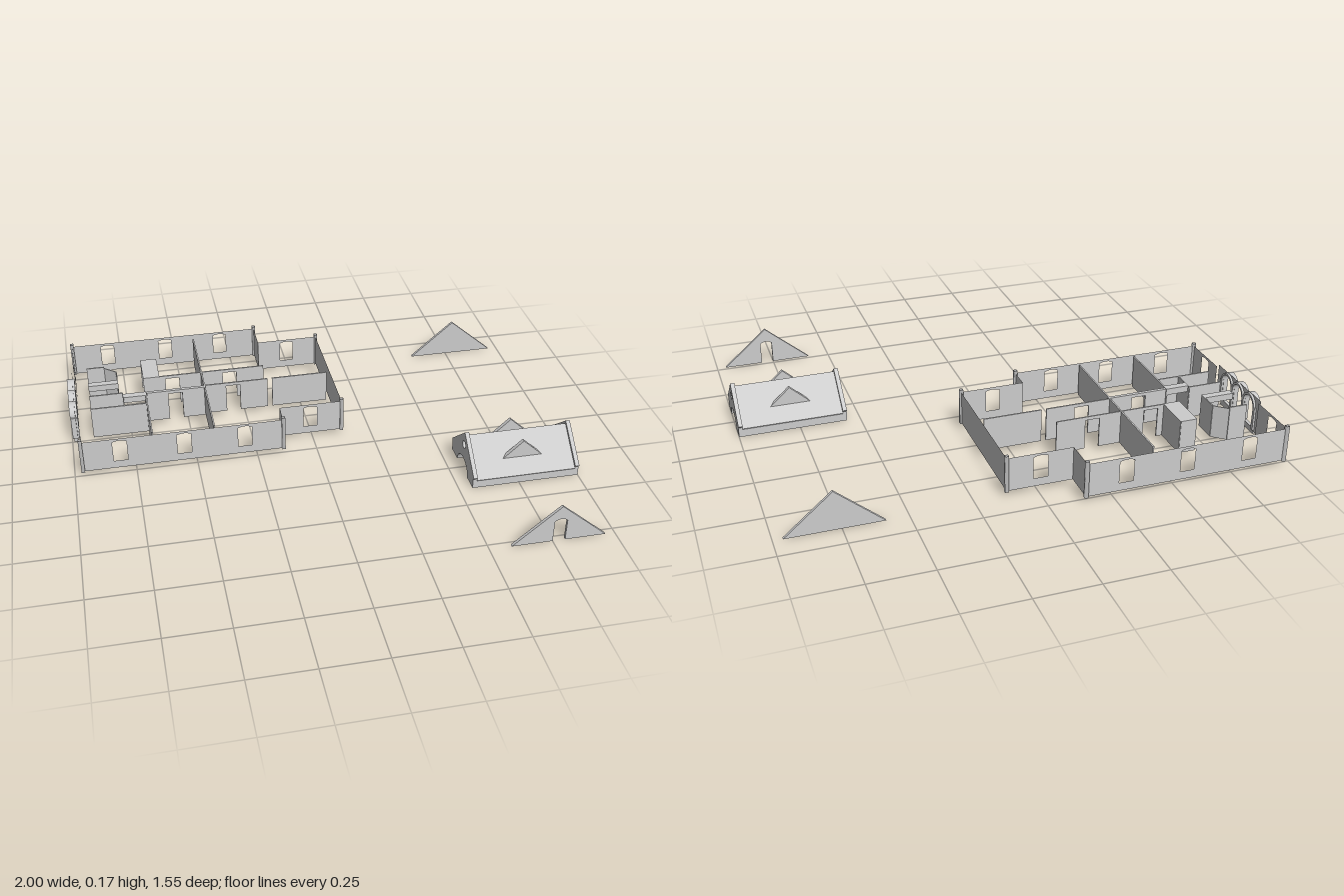
import * as THREE from 'three';

const grey = new THREE.MeshStandardMaterial({ color: 0xcccccc, side: THREE.DoubleSide });
grey.name = 'plaster grey';

const FLOOR = 0.022, TOP = 0.162;

// Opening with a slightly bowed head
function opening(path, u, w, y0, y1) {
  path.moveTo(u - w / 2, y0);
  path.lineTo(u + w / 2, y0);
  path.lineTo(u + w / 2, y1 - 0.006);
  path.quadraticCurveTo(u, y1 + 0.006, u - w / 2, y1 - 0.006);
  path.closePath();
  return path;
}

// Upright wall from (ax, az) to (bx, bz); windows and doors are distances along it
function wall(parent, name, [ax, az], [bx, bz], { windows = [], doors = [], t = 0, y0 = FLOOR, y1 = TOP } = {}) {
  const len = Math.hypot(bx - ax, bz - az);
  const s = new THREE.Shape();
  s.moveTo(0, y0);
  for (const d of [...doors].sort((a, b) => a - b)) {
    s.lineTo(d - 0.03, y0);
    s.lineTo(d - 0.03, 0.148);
    s.lineTo(d + 0.03, 0.148);
    s.lineTo(d + 0.03, y0);
  }
  s.lineTo(len, y0);
  s.lineTo(len, y1);
  s.lineTo(0, y1);
  s.closePath();
  for (const w of windows) s.holes.push(opening(new THREE.Path(), w, 0.058, 0.056, 0.152));
  const g = t ? new THREE.ExtrudeGeometry(s, { depth: t, bevelEnabled: false }).translate(0, 0, -t / 2)
    : new THREE.ShapeGeometry(s);
  const m = add(parent, name, g, [ax, 0, az]);
  m.rotation.y = -Math.atan2(bz - az, bx - ax);
  return m;
}

function add(parent, name, geometry, pos = [0, 0, 0]) {
  const m = new THREE.Mesh(geometry, grey);
  m.name = name;
  m.position.set(...pos);
  parent.add(m);
  return m;
}

function box(parent, name, x0, x1, y0, y1, z0, z1) {
  return add(parent, name, new THREE.BoxGeometry(x1 - x0, y1 - y0, z1 - z0),
    [(x0 + x1) / 2, (y0 + y1) / 2, (z0 + z1) / 2]);
}

function outerWalls() {
  const g = new THREE.Group();
  g.name = 'outerWalls';
  const L = -0.965, M = -0.14, R = 0.125;
  const along = [-0.81, -0.55, -0.3].map(x => x - L);
  wall(g, 'frontWall', [L, 0], [M, 0], { windows: along });
  wall(g, 'backWall', [L, -0.77], [M, -0.77], { windows: along });
  wall(g, 'frontStep', [M, 0], [M, -0.09]);
  wall(g, 'backStep', [M, -0.64], [M, -0.77]);
  wall(g, 'frontWing', [M, -0.09], [R, -0.09], { windows: [0.13] });
  wall(g, 'backWing', [M, -0.64], [R, -0.64], { windows: [0.13] });
  wall(g, 'endWall', [R, -0.09], [R, -0.64]);
  wall(g, 'entranceWallFront', [L, 0], [L, -0.21], { windows: [0.11] });
  wall(g, 'entranceWallBack', [L, -0.555], [L, -0.77], { windows: [0.11] });
  // Hollow corner posts
  for (const [x, z] of [[L, 0], [L, -0.77], [M, 0], [M, -0.77], [R, -0.09], [R, -0.64]]) {
    const post = new THREE.CylinderGeometry(0.01, 0.01, 0.155, 4, 1, true).rotateY(Math.PI / 4);
    add(g, 'cornerPost', post, [x, 0.0975, z]);
  }
  return g;
}

function innerWalls() {
  const g = new THREE.Group();
  g.name = 'innerWalls';
  const t = 0.006;
  wall(g, 'crossWall', [-0.423, -0.73], [-0.423, -0.015], { t });
  wall(g, 'backCorridorWall', [-0.675, -0.44], [-0.15, -0.44], { t, doors: [0.125, 0.375] });
  wall(g, 'frontCorridorWall', [-0.42, -0.33], [-0.15, -0.33], { t, doors: [0.12] });
  wall(g, 'wingWall', [-0.13, -0.33], [0.11, -0.33], { t });
  wall(g, 'hallWall', [-0.67, -0.322], [-0.42, -0.322], { t: 0.014, doors: [0.12] });
  wall(g, 'frontRoomWall', [-0.675, -0.33], [-0.675, -0.015], { t });
  wall(g, 'lobbyWall', [-0.91, -0.24], [-0.675, -0.24], { t });
  wall(g, 'lobbyPartition', [-0.91, -0.34], [-0.77, -0.34], { t });
  wall(g, 'lobbySide', [-0.77, -0.34], [-0.77, -0.24], { t: 0.003 });
  // Small room with a clipped corner
  wall(g, 'cornerRoomBack', [-0.91, -0.557], [-0.835, -0.557], { t, y1: 0.168 });
  wall(g, 'cornerRoomSlant', [-0.835, -0.557], [-0.785, -0.515], { t: 0.004 });
  wall(g, 'cornerRoomSide', [-0.785, -0.515], [-0.785, -0.42], { t: 0.004 });
  // Lintels and cupboards
  box(g, 'cornerRoomLintel', -0.91, -0.785, 0.135, TOP, -0.447, -0.418);
  box(g, 'lobbyLintel', -0.77, -0.675, 0.135, TOP, -0.33, -0.3);
  box(g, 'cupboardTop', -0.675, -0.607, 0.15, TOP, -0.59, -0.44);
  wall(g, 'cupboardSide', [-0.607, -0.59], [-0.607, -0.44], { t: 0.004 });
  wall(g, 'cupboardBack', [-0.675, -0.59], [-0.607, -0.59], { t: 0.004 });
  return g;
}

// Three-arched entrance
function portico() {
  const g = new THREE.Group();
  g.name = 'portico';
  const centres = [-0.475, -0.385, -0.295], spring = 0.122;
  const sheet = new THREE.Shape([[0.21, 0.015], [0.555, 0.015], [0.555, 0.168], [0.21, 0.168]]
    .map(p => new THREE.Vector2(...p)));
  for (const c of centres) {
    const h = new THREE.Path();
    h.moveTo(-c - 0.036, 0.028);
    h.lineTo(-c + 0.036, 0.028);
    h.lineTo(-c + 0.036, spring);
    h.absarc(-c, spring, 0.036, 0, Math.PI, false);
    h.closePath();
    sheet.holes.push(h);
    // Raised arch ring
    const ring = new THREE.Shape();
    ring.absarc(0, 0, 0.045, 0, Math.PI, false);
    ring.absarc(0, 0, 0.036, Math.PI, 0, true);
    ring.closePath();
    const rg = new THREE.ExtrudeGeometry(ring, { depth: 0.032, bevelEnabled: false, curveSegments: 16 });
    add(g, 'archRing', rg.rotateY(Math.PI / 2), [-0.998, spring, c]);
  }
  const screen = add(g, 'archScreen', new THREE.ShapeGeometry(sheet, 16), [-0.975, 0, 0]);
  screen.rotation.y = Math.PI / 2;
  for (let i = 0; i < 4; i++) {
    const z = -0.52 + i * 0.09;
    box(g, 'pier', -0.996, -0.967, FLOOR, spring, z - 0.007, z + 0.007);
  }
  box(g, 'threshold', -0.992, -0.975, 0.002, 0.025, -0.52, -0.25);
  return g;
}

// Vaulted roof cross-section, in (z offset, y)
function vaultShape(apex, eave, eaveY) {
  const s = new THREE.Shape();
  s.moveTo(-0.14, 0);
  s.lineTo(-0.07, 0);
  s.bezierCurveTo(-0.06, 0.072, 0.06, 0.072, 0.07, 0);
  s.lineTo(0.14, 0);
  s.lineTo(0.14, eaveY - 0.008);
  s.lineTo(eave, eaveY);
  s.lineTo(0, apex);
  s.lineTo(-eave, eaveY);
  s.lineTo(-0.14, eaveY - 0.008);
  s.closePath();
  return s;
}

function triangle(halfWidth, height) {
  return new THREE.Shape([new THREE.Vector2(-halfWidth, 0), new THREE.Vector2(halfWidth, 0), new THREE.Vector2(0, height)]);
}

function vaultedRoof() {
  const g = new THREE.Group();
  g.name = 'vaultedRoof';
  const section = (name, shape, x, depth) => add(g, name,
    new THREE.ExtrudeGeometry(shape, { depth, bevelEnabled: false, curveSegments: 16 }).rotateY(Math.PI / 2), [x, 0, 0.257]);
  section('roofBody', vaultShape(0.162, 0.145, 0.038), 0.572, 0.411);
  // Raised end plates with a round vent
  for (const x of [0.555, 0.983]) {
    const end = vaultShape(0.175, 0.147, 0.05);
    end.holes.push(new THREE.Path().absarc(0, 0.117, 0.017, 0, Math.PI * 2, true));
    section('endPlate', end, x, 0.017);
  }
  // Triangular dormers on both slopes
  for (const z of [0.178, 0.336]) {
    const d = new THREE.ExtrudeGeometry(triangle(0.0875, 0.08), { depth: 0.016, bevelEnabled: false });
    add(g, 'dormer', d, [0.775, 0.082, z - 0.008]);
  }
  return g;
}

function gables() {
  const g = new THREE.Group();
  g.name = 'gables';
  for (const [z, door] of [[0.77, true], [-0.648, false]]) {
    let s = triangle(0.187, 0.16);
    if (door) {
      s = new THREE.Shape();
      s.moveTo(-0.187, 0);
      s.lineTo(-0.025, 0);
      s.lineTo(-0.025, 0.092);
      s.quadraticCurveTo(0, 0.112, 0.025, 0.092);
      s.lineTo(0.025, 0);
      s.lineTo(0.187, 0);
      s.lineTo(0, 0.16);
      s.closePath();
    }
    const geo = new THREE.ExtrudeGeometry(s, { depth: 0.012, bevelEnabled: false });
    add(g, door ? 'frontGable' : 'backGable', geo, [0.775, 0, z - 0.006]);
  }
  return g;
}

export function createModel() {
  const model = new THREE.Group();
  model.name = 'houseParts';
  model.add(outerWalls(), innerWalls(), portico(), vaultedRoof(), gables());
  return model;
}
